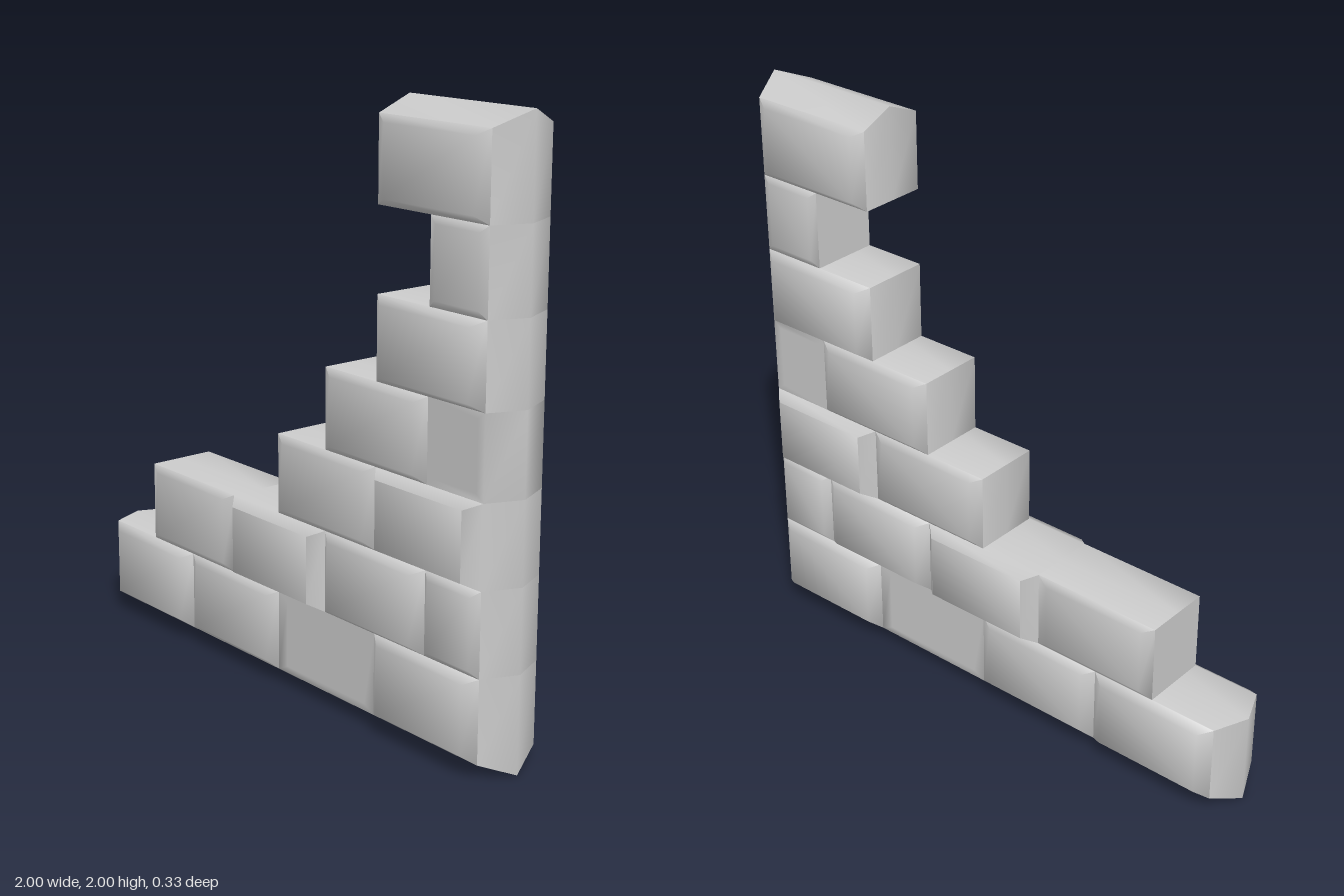
import * as THREE from 'three';
import { toCreasedNormals } from 'three/addons/utils/BufferGeometryUtils.js';

const JOINT = 0.12;  // half thickness at the mortar joints
const RIM = 0.05;    // width of the sloping outer rim

// Heights of the courses, bottom to top
const levels = [0, 0.325, 0.6, 0.87, 1.14, 1.41, 1.68, 2];
// Bricks of each course: [left, right, half thickness]
const courses = [
  [[-1, -0.48, 0.15], [-0.48, 0, 0.142], [0, 0.48, JOINT], [0.48, 1, 0.15]],
  [[-0.71, -0.24, 0.137], [-0.24, 0.24, 0.162], [0.24, 0.71, 0.15], [0.71, 1, 0.14]],
  [[0, 0.48, 0.14], [0.48, 1, 0.163]],
  [[0.24, 0.71, 0.142], [0.71, 1, JOINT]],
  [[0.48, 1, 0.152]],
  [[0.71, 1, 0.131]],
  [[0.48, 1, 0.142]],
];

// A brick lofted through rectangles from front to back
function brickGeometry(x0, x1, y0, y1, depth) {
  // Sides on the outside of the wall slope to a ridge at z = 0
  const rim = [x0 === -1, x1 === 1, y0 === 0, y1 === 2].map((r) => (r ? RIM : 0));
  const rect = (z, s, ix, iy) => {
    const l = x0 + rim[0] * s + ix, r = x1 - rim[1] * s - ix;
    const b = y0 + rim[2] * s + iy, t = y1 - rim[3] * s - iy;
    return [[l, b, z], [r, b, z], [r, t, z], [l, t, z]];
  };
  const ix = x1 - x0 < 0.3 ? 0.03 : 0.045;
  const rings = [
    rect(depth, 1, ix, 0.023), rect(JOINT, 1, 0, 0), rect(0, 0, 0, 0),
    rect(-JOINT, 1, 0, 0), rect(-depth, 1, ix, 0.023),
  ];
  const index = [0, 1, 2, 0, 2, 3, 16, 18, 17, 16, 19, 18];
  for (let i = 0; i < 4; i++) {
    for (let k = 0; k < 4; k++) {
      const a = i * 4 + k, b = i * 4 + (k + 1) % 4;
      index.push(a, a + 4, b + 4, a, b + 4, b);
    }
  }
  const geometry = new THREE.BufferGeometry();
  geometry.setAttribute('position', new THREE.Float32BufferAttribute(rings.flat(2), 3));
  geometry.setIndex(index);
  return toCreasedNormals(geometry, 1.2);
}

export function createModel() {
  const wall = new THREE.Group();
  wall.name = 'steppedBrickWall';
  const stone = new THREE.MeshStandardMaterial({ color: 0xcccccc });

  courses.forEach((bricks, row) => {
    const course = new THREE.Group();
    course.name = `course${row + 1}`;
    bricks.forEach(([x0, x1, depth], i) => {
      const brick = new THREE.Mesh(brickGeometry(x0, x1, levels[row], levels[row + 1], depth), stone);
      brick.name = `brick${i + 1}`;
      course.add(brick);
    });
    wall.add(course);
  });
  return wall;
}
